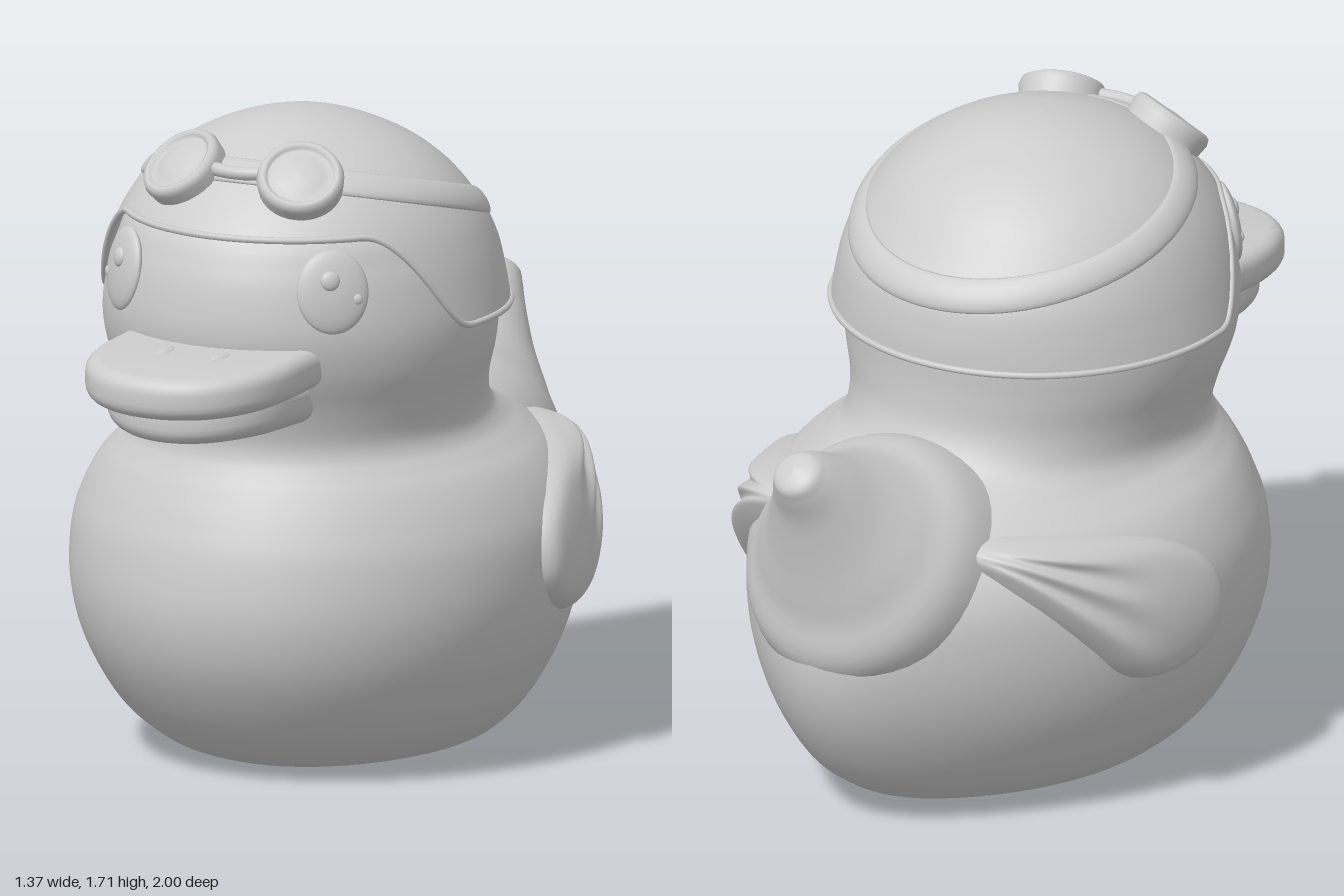
import * as THREE from 'three';
import { mergeVertices, toCreasedNormals } from 'three/addons/utils/BufferGeometryUtils.js';

const TAU = Math.PI * 2;
const { smoothstep } = THREE.MathUtils;
const grey = new THREE.MeshStandardMaterial({ color: 0xcccccc, side: THREE.DoubleSide });
grey.name = 'grey';

// Smooth surface from f(u, v) -> [x, y, z], outside facing dv x du
function surface(f, nu, nv, flip = false) {
  const pos = [], idx = [];
  for (let j = 0; j <= nv; j++)
    for (let i = 0; i <= nu; i++) pos.push(...f((i % nu) / nu, j / nv));
  for (let j = 0; j < nv; j++)
    for (let i = 0; i < nu; i++) {
      const a = j * (nu + 1) + i, b = a + 1, c = a + nu + 1, d = c + 1;
      if (flip) idx.push(a, b, c, b, d, c);
      else idx.push(a, c, b, b, c, d);
    }
  let g = new THREE.BufferGeometry();
  g.setAttribute('position', new THREE.Float32BufferAttribute(pos, 3));
  g.setIndex(idx);
  g = mergeVertices(g, 1e-5);
  g.computeVertexNormals();
  return g;
}

// Catmull-Rom blend of table rows, t in 0..1
function sample(rows, t) {
  const n = rows.length - 1, s = Math.min(t * n, n - 1e-9), i = Math.floor(s), k = s - i;
  const at = (j) => rows[Math.max(0, Math.min(n, j))];
  return rows[0].map((_, c) => {
    const p0 = at(i - 1)[c], p1 = at(i)[c], p2 = at(i + 1)[c], p3 = at(i + 2)[c];
    return p1 + 0.5 * k * (p2 - p0 + k * (2 * p0 - 5 * p1 + 4 * p2 - p3 + k * (3 * (p1 - p2) + p3 - p0)));
  });
}

// Horizontal egg-shaped ring: height, half width, front z, back z, middle z, rear taper
function ringPoint([y, w, f, b, zc, taper], a) {
  const s = Math.sin(a);
  const x = w * Math.cos(a) * (s < 0 ? 1 - taper * s * s : 1);
  return [x, y, zc + (s > 0 ? (f - zc) * s : (zc - b) * s)];
}

const bodyRows = [
  [0, 0, -0.05, -0.05, -0.05, 0], [0.003, 0.25, 0.29, -0.43, -0.05, 0.1],
  [0.02, 0.36, 0.4, -0.545, -0.04, 0.2], [0.06, 0.44, 0.48, -0.635, -0.02, 0.25],
  [0.15, 0.528, 0.58, -0.75, 0, 0.3], [0.3, 0.607, 0.677, -0.85, 0, 0.33],
  [0.45, 0.645, 0.715, -0.895, 0, 0.33], [0.6, 0.645, 0.7, -0.885, 0, 0.3],
  [0.7, 0.615, 0.668, -0.83, 0, 0.25], [0.78, 0.565, 0.632, -0.75, 0.02, 0.2],
  [0.83, 0.51, 0.605, -0.66, 0.05, 0.1], [0.87, 0.467, 0.588, -0.56, 0.08, 0],
  [0.92, 0.452, 0.585, -0.46, 0.1, 0], [1.0, 0.468, 0.605, -0.405, 0.12, 0],
  [1.1, 0.5, 0.645, -0.39, 0.13, 0], [1.2, 0.51, 0.667, -0.39, 0.13, 0],
  [1.3, 0.495, 0.658, -0.385, 0.13, 0], [1.38, 0.47, 0.635, -0.36, 0.13, 0],
  [1.46, 0.43, 0.588, -0.29, 0.13, 0], [1.55, 0.3, 0.45, -0.15, 0.13, 0], [1.6, 0, 0.13, 0.13, 0.13, 0],
];

const capRows = [
  [1.19, 0.537, 0.665, -0.425, 0.12, 0], [1.28, 0.52, 0.66, -0.42, 0.12, 0],
  [1.37, 0.497, 0.645, -0.4, 0.12, 0], [1.46, 0.46, 0.608, -0.335, 0.12, 0],
  [1.55, 0.395, 0.53, -0.26, 0.13, 0], [1.62, 0.31, 0.445, -0.17, 0.13, 0],
  [1.67, 0.21, 0.345, -0.07, 0.13, 0], [1.702, 0.1, 0.235, 0.03, 0.13, 0], [1.712, 0, 0.13, 0.13, 0.13, 0],
];
const capPoint = (a, t) => ringPoint(sample(capRows, t), a);

// Where the cap meets a height given as a function of z
function capLevel(a, height) {
  let lo = 0, hi = 1;
  for (let i = 0; i < 24; i++) {
    const t = (lo + hi) / 2, p = capPoint(a, t);
    if (p[1] < height(p[2])) lo = t; else hi = t;
  }
  return lo;
}
const hemHeight = (z) => 1.2 + 0.26 * smoothstep(z, 0.2, 0.44);

// Tail rings: top z, top y, rear z, rear y, half width
const tailRows = [
  [-0.2, 0.88, -0.6, 0.3, 0.36], [-0.44, 0.99, -0.875, 0.47, 0.33], [-0.59, 1.003, -0.908, 0.64, 0.25],
  [-0.72, 1.04, -0.93, 0.78, 0.17], [-0.82, 1.082, -0.958, 0.92, 0.112], [-0.88, 1.105, -0.99, 1.0, 0.078],
  [-0.92, 1.11, -1.0, 1.04, 0.055], [-0.968, 1.09, -0.968, 1.09, 0],
];
function tailPoint(u, v) {
  const [tz, ty, bz, by, w] = sample(tailRows, v), c = Math.cos(u * TAU), s = Math.sin(u * TAU);
  return [w * c, (ty + by) / 2 + (s * (ty - by)) / 2, (tz + bz) / 2 + (s * (tz - bz)) / 2];
}

// Teardrop wing hugging the body, with feather ridges fanning from the tip
const wingOutline = new THREE.CatmullRomCurve3(
  [[-0.17, 0.37], [-0.3, 0.4], [-0.41, 0.51], [-0.58, 0.72], [-0.605, 0.79], [-0.54, 0.812],
    [-0.3, 0.79], [-0.1, 0.735], [0.02, 0.64], [0.035, 0.51], [-0.04, 0.41]].map(([z, y]) => new THREE.Vector3(0, y, z)),
  true);
const wingPoint = (side) => (u, v) => {
  const p = wingOutline.getPoint(u), r = Math.sin((v * Math.PI) / 2);
  const z = -0.22 + (p.z + 0.22) * r, y = 0.6 + (p.y - 0.6) * r, s = (z / 0.9) ** 2;
  const base = 0.65 * Math.sqrt(1 - ((y - 0.52) / 0.53) ** 2) * Math.sqrt(1 - s) * (1 - 0.2 * s);
  const ridge = 0.012 * Math.cos(24 * Math.atan2(0.83 - y, z + 0.66)) * smoothstep(-z, 0.2, 0.45);
  return [side * (base - 0.1 + (0.138 + ridge) * Math.sqrt(Math.max(0, 1 - r ** 12))), y, z];
};

// Rounded bill plate, extruded downwards, curved up at the sides and sloped to the front
function billPlate(w, front, top, thick, curl, slope) {
  const s = new THREE.Shape();
  const b = 0.04;
  w -= b; front -= b;
  s.moveTo(-w, 0.42);
  s.lineTo(w, 0.42);
  s.lineTo(w, 0.68);
  s.bezierCurveTo(w, front - 0.12, w * 0.72, front, 0, front);
  s.bezierCurveTo(-w * 0.72, front, -w, front - 0.12, -w, 0.68);
  const g = new THREE.ExtrudeGeometry(s, { depth: thick - 2 * b, bevelThickness: b, bevelSize: b, bevelSegments: 5, curveSegments: 20 });
  g.rotateX(Math.PI / 2).translate(0, top - b, 0);
  const p = g.attributes.position;
  for (let i = 0; i < p.count; i++)
    p.setY(i, p.getY(i) + curl * p.getX(i) ** 2 + slope * (p.getZ(i) - 0.6));
  return toCreasedNormals(g, 0.7);
}

export function createModel() {
  const model = new THREE.Group();
  model.name = 'bathDuck';
  const add = (name, geo, parent = model) => {
    const m = new THREE.Mesh(geo, grey);
    m.name = name;
    parent.add(m);
    return m;
  };

  add('bodyAndHead', surface((u, v) => ringPoint(sample(bodyRows, v), u * TAU), 72, 100));
  add('tail', surface(tailPoint, 48, 42));

  // Cap, its rolled hem and the goggle strap
  const hemLevels = Array.from({ length: 96 }, (_, i) => capLevel((i / 96) * TAU, hemHeight));
  add('cap', surface((u, v) => {
    const t0 = hemLevels[Math.round(u * 96)];
    return capPoint(u * TAU, t0 + (1 - t0) * v);
  }, 96, 36));
  const hemPoints = hemLevels.map((t, i) => new THREE.Vector3(...capPoint((i / 96) * TAU, t)));
  add('capHem', new THREE.TubeGeometry(new THREE.CatmullRomCurve3(hemPoints, true), 192, 0.009, 8, true));
  add('goggleStrap', surface((u, v) => {
    const a = u * TAU, off = -0.034 * Math.cos(v * TAU), out = 0.013 * Math.sin(v * TAU);
    const p = capPoint(a, capLevel(a, (z) => 1.487 + 0.256 * z + off));
    return [p[0] + out * 0.85 * Math.cos(a), p[1] + out * 0.5, p[2] + out * 0.85 * Math.sin(a)];
  }, 96, 16));

  // Goggle profile: domed lens inside a raised rim
  const gogglePoints = [[0.108, -0.05], [0.114, 0.005], [0.108, 0.022], [0.097, 0.027], [0.086, 0.022],
    [0.083, 0.012], [0.06, 0.022], [0.03, 0.028], [0, 0.03]].map(([r, y]) => new THREE.Vector2(r, y));

  for (const side of [1, -1]) {
    const label = side > 0 ? 'left' : 'right';
    add(label + 'Wing', surface(wingPoint(side), 96, 28, side < 0));

    const goggle = add(label + 'Goggle', new THREE.LatheGeometry(gogglePoints, 40));
    goggle.position.set(side * 0.172, 1.6, 0.462);
    goggle.quaternion.setFromUnitVectors(new THREE.Vector3(0, 1, 0), new THREE.Vector3(side * 0.28, 0.75, 0.6).normalize());

    // Eye with two raised dots
    const eye = new THREE.Group();
    eye.name = label + 'Eye';
    eye.position.set(side * 0.305, 1.33, 0.535);
    eye.rotation.set(-0.16, side * 0.69, 0, 'YXZ');
    model.add(eye);
    add('eyeball', new THREE.SphereGeometry(1, 32, 20), eye).scale.set(0.095, 0.11, 0.026);
    for (const [x, y, r] of [[-0.01, 0.03, 0.026], [0.062, -0.02, 0.014]]) {
      const dot = add('eyeDot', new THREE.SphereGeometry(r, 16, 12), eye);
      dot.position.set(side * x, y, r > 0.02 ? 0.023 : 0.017);
      dot.scale.z = 0.5;
    }

    const nostril = add(label + 'Nostril', new THREE.SphereGeometry(1, 16, 12));
    nostril.position.set(side * 0.08, 1.172, 0.73);
    nostril.scale.set(0.022, 0.009, 0.045);
  }

  const bridge = new THREE.QuadraticBezierCurve3(
    new THREE.Vector3(-0.09, 1.61, 0.475), new THREE.Vector3(0, 1.605, 0.52), new THREE.Vector3(0.09, 1.61, 0.475));
  add('goggleBridge', new THREE.TubeGeometry(bridge, 16, 0.018, 12));

  add('upperBill', billPlate(0.285, 1.0, 1.172, 0.11, 0.15, -0.04));
  add('lowerBill', billPlate(0.25, 0.915, 1.065, 0.11, 0.5, 0.04));
  return model;
}
